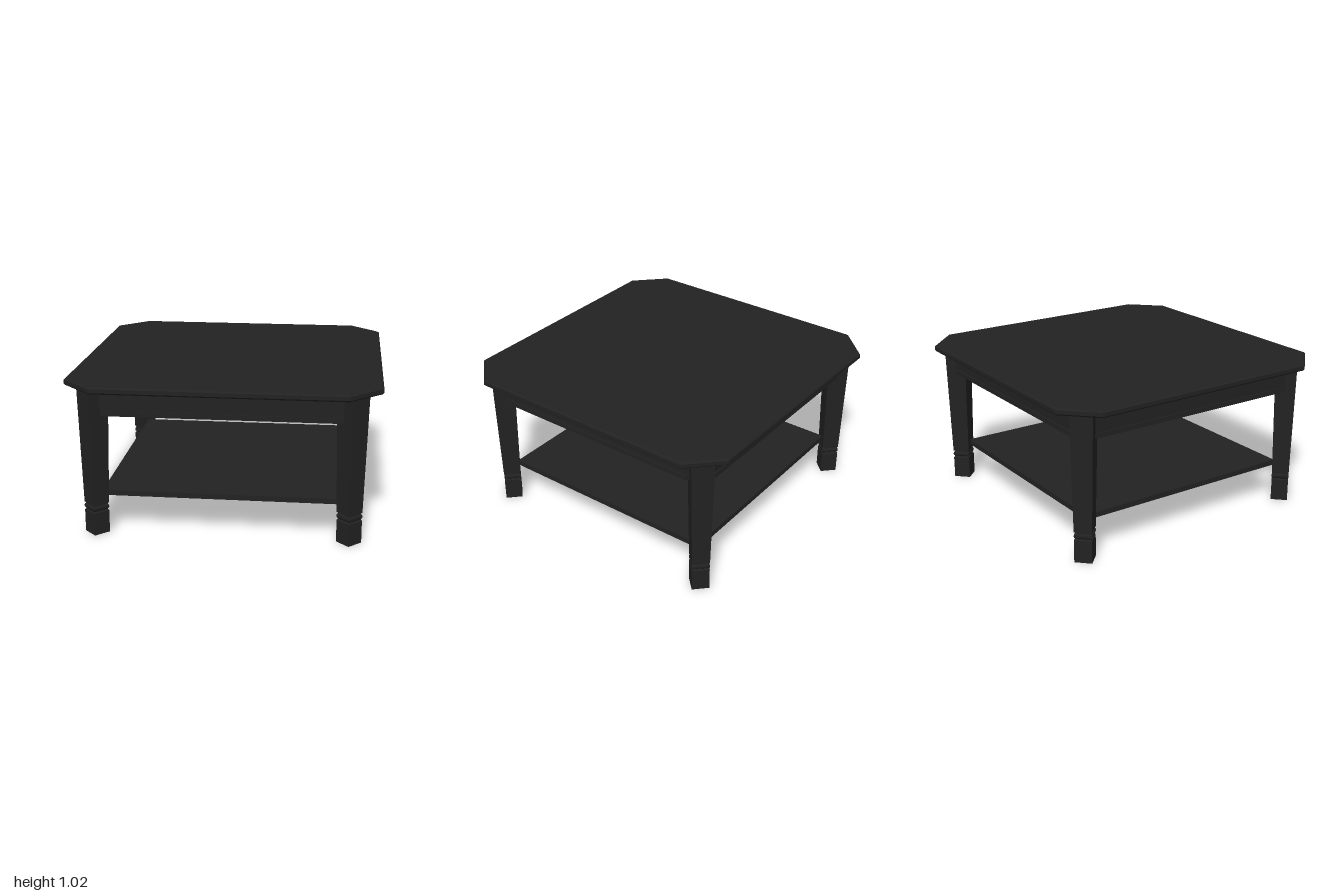
import * as THREE from 'three';

const black = new THREE.MeshStandardMaterial({ color: 0x222222, flatShading: true });
black.name = 'black paint';

function add(parent, name, geometry, x = 0, y = 0, z = 0) {
  const mesh = new THREE.Mesh(geometry, black);
  mesh.name = name;
  mesh.position.set(x, y, z);
  parent.add(mesh);
  return mesh;
}

// Box given by its size and the heights of its bottom and top
function slab(parent, name, w, bottom, top, d, x = 0, z = 0) {
  return add(parent, name, new THREE.BoxGeometry(w, top - bottom, d), x, (bottom + top) / 2, z);
}

// Square with clipped corners; h is half the width, c the clipped length
function clippedSquare(h, c) {
  const k = h - c;
  return new THREE.Shape([
    [-k, -h], [k, -h], [h, -k], [h, k], [k, h], [-k, h], [-h, k], [-h, -k],
  ].map(([x, y]) => new THREE.Vector2(x, y)));
}

export function createModel() {
  const table = new THREE.Group();
  table.name = 'coffeeTable';

  // Top with a small bevel round its edges
  const topGeometry = new THREE.ExtrudeGeometry(clippedSquare(0.99, 0.196), {
    depth: 0.025, bevelEnabled: true, bevelSize: 0.01, bevelThickness: 0.01, bevelSegments: 1,
  });
  topGeometry.rotateX(-Math.PI / 2);
  add(table, 'tableTop', topGeometry, 0, 0.987, 0);

  // Tapered four-sided legs set diagonally, with two beads above the foot
  const legProfile = [
    [0, 0], [0.08, 0], [0.08, 0.15], [0.072, 0.157], [0.072, 0.161],
    [0.08, 0.168], [0.082, 0.178], [0.08, 0.188], [0.072, 0.194], [0.072, 0.2],
    [0.081, 0.203], [0.102, 0.98], [0, 0.98],
  ].map(([r, y]) => new THREE.Vector2(r, y));
  const legGeometry = new THREE.LatheGeometry(legProfile, 4);
  for (const x of [-1, 1]) {
    for (const z of [-1, 1]) add(table, 'leg', legGeometry, x * 0.815, 0, z * 0.815);
  }

  // Lower shelf running between the legs
  slab(table, 'shelf', 1.56, 0.24, 0.275, 1.56);

  // Aprons with a raised lower moulding; front and back leave a gap under the top
  for (let i = 0; i < 4; i++) {
    const side = new THREE.Group();
    const ends = i % 2 === 1;
    side.name = ends ? 'sideApron' : 'drawerApron';
    side.rotation.y = i * Math.PI / 2;
    slab(side, 'apronBoard', 1.53, 0.803, ends ? 0.98 : 0.972, 0.035, 0, 0.843);
    slab(side, 'apronMoulding', 1.49, 0.803, 0.835, 0.01, 0, 0.865);
    table.add(side);
  }

  // Central runner below the top, with a small stud at its middle
  slab(table, 'centreRunner', 0.1, 0.805, 0.83, 1.46);
  add(table, 'runnerStud', new THREE.CylinderGeometry(0.02, 0.02, 0.01, 12), 0, 0.8, 0);

  return table;
}
